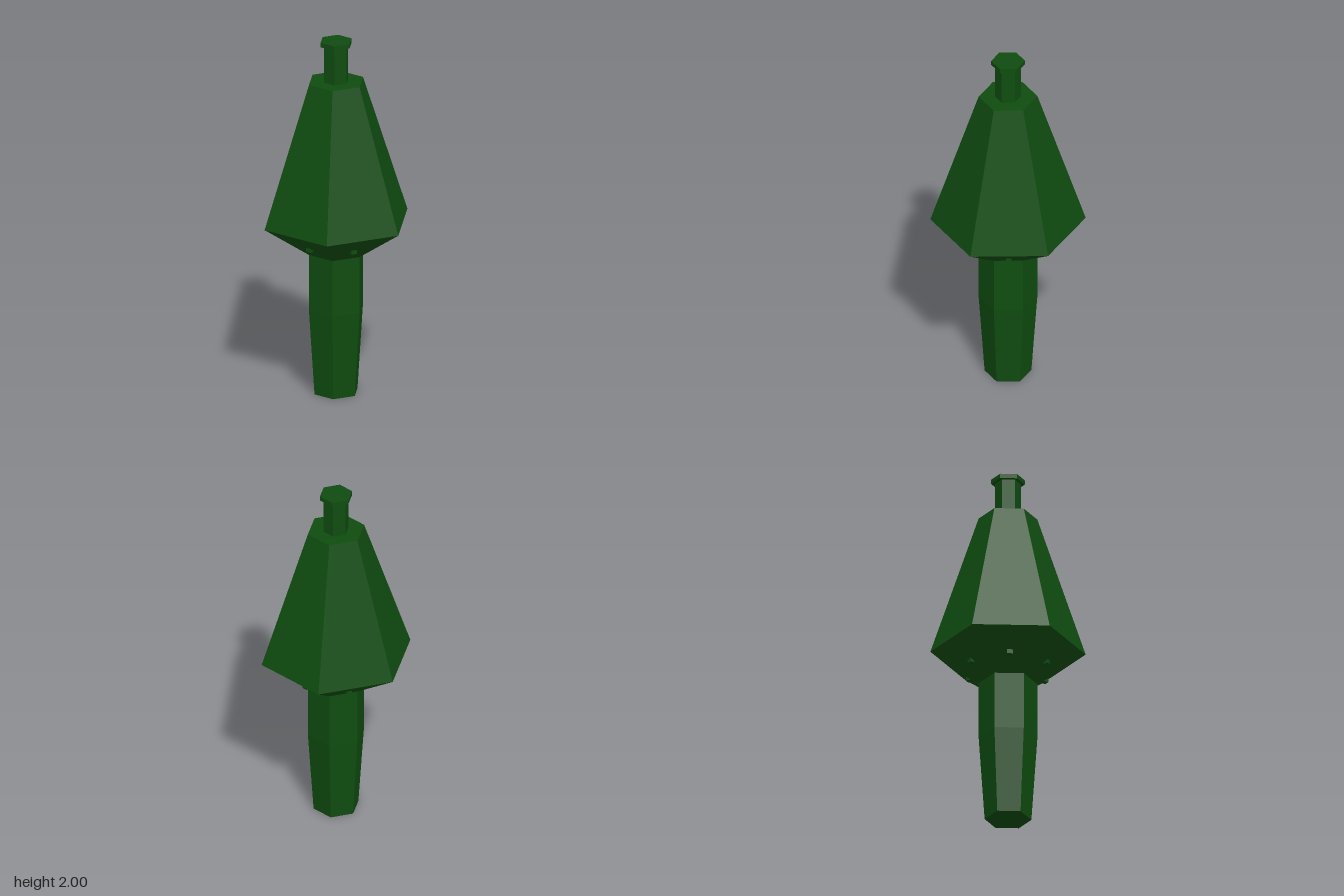
import * as THREE from 'three';

export function createModel() {
  const group = new THREE.Group();
  const green = new THREE.MeshStandardMaterial({ color: 0x0f4c10, flatShading: true });

  // Hexagonal section between two heights, corners on the z axis
  function hexSection(name, bottomRadius, topRadius, y0, y1, open = false) {
    const geometry = new THREE.CylinderGeometry(topRadius, bottomRadius, y1 - y0, 6, 1, open);
    const mesh = new THREE.Mesh(geometry, green);
    mesh.position.y = (y0 + y1) / 2;
    mesh.name = name;
    group.add(mesh);
  }

  // Stem, tapered at its foot
  hexSection('lowerStem', 0.125, 0.157, 0, 0.48);
  hexSection('upperStem', 0.157, 0.157, 0.48, 0.8, true);

  // Flared body
  hexSection('bodyUnderside', 0.157, 0.415, 0.8, 0.98, true);
  hexSection('body', 0.415, 0.157, 0.98, 1.77);

  // Neck and cap
  hexSection('neck', 0.07, 0.07, 1.77, 1.975);
  hexSection('cap', 0.09, 0.09, 1.975, 2);

  // A small stud in the middle of each underside face
  for (let i = 0; i < 6; i++) {
    const angle = Math.PI / 6 + (i * Math.PI) / 3;
    const stud = new THREE.Mesh(new THREE.BoxGeometry(0.03, 0.024, 0.04), green);
    stud.position.set(Math.sin(angle) * 0.226, 0.877, Math.cos(angle) * 0.226);
    stud.rotation.y = angle;
    stud.name = 'stud' + (i + 1);
    group.add(stud);
  }

  return group;
}
